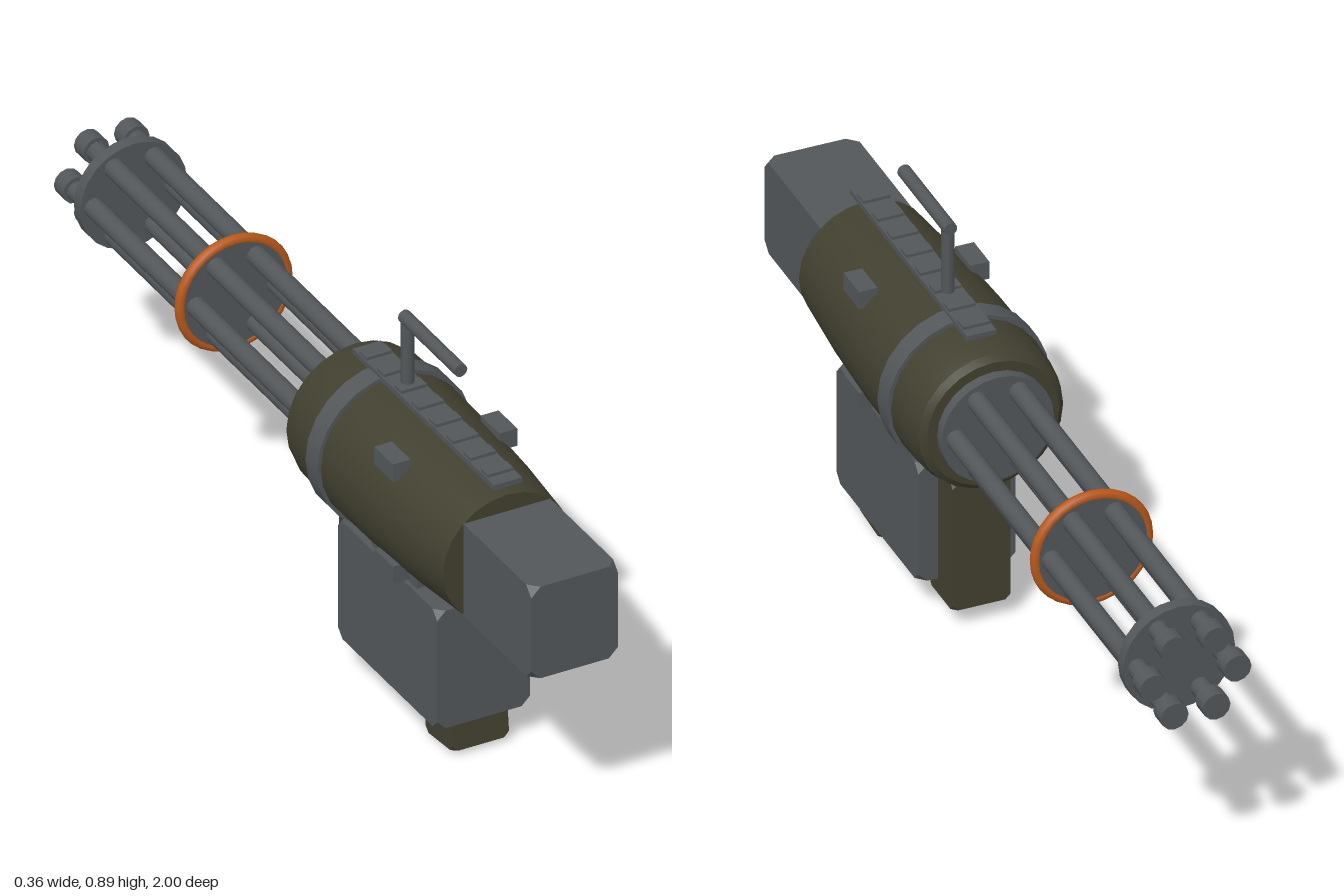
import * as THREE from 'three';
import { toCreasedNormals } from 'three/addons/utils/BufferGeometryUtils.js';
import { ConvexGeometry } from 'three/addons/geometries/ConvexGeometry.js';

const AXIS = 0.527; // height of the barrel axis

export function createModel() {
  const model = new THREE.Group();
  const steel = new THREE.MeshStandardMaterial({ color: 0x53575a });
  const olive = new THREE.MeshStandardMaterial({ color: 0x414030 });
  const orange = new THREE.MeshStandardMaterial({ color: 0xb8591c });
  steel.name = 'steel';
  olive.name = 'olive';
  orange.name = 'orange';

  const add = (name, geometry, material, x, y, z) => {
    const mesh = new THREE.Mesh(geometry, material);
    mesh.name = name;
    mesh.position.set(x, y, z);
    model.add(mesh);
    return mesh;
  };
  const box = (name, material, w, h, d, x, y, z) =>
    add(name, new THREE.BoxGeometry(w, h, d), material, x, y, z);

  // Cylinder lying along z, between two z positions
  const rod = (name, radius, z0, z1, sides, x, y) =>
    add(name, new THREE.CylinderGeometry(radius, radius, Math.abs(z1 - z0), sides).rotateX(Math.PI / 2),
      steel, x, y, (z0 + z1) / 2);

  // Box with its eight corners cut off
  const cutBox = (name, material, w, h, d, cut, x, y, z) => {
    const points = [];
    for (const sx of [-1, 1]) for (const sy of [-1, 1]) for (const sz of [-1, 1]) {
      points.push(
        new THREE.Vector3(sx * (w / 2 - cut), sy * h / 2, sz * d / 2),
        new THREE.Vector3(sx * w / 2, sy * (h / 2 - cut), sz * d / 2),
        new THREE.Vector3(sx * w / 2, sy * h / 2, sz * (d / 2 - cut)));
    }
    return add(name, new ConvexGeometry(points), material, x, y, z);
  };

  // Tapered housing: [radius, z] from the muzzle side to the rear
  const profile = [[0, 0.05], [0.148, 0.05], [0.162, 0.062], [0.17, 0.095], [0.174, 0.2],
    [0.172, 0.36], [0.164, 0.54], [0.15, 0.71], [0, 0.71]];
  const housing = new THREE.LatheGeometry(profile.map(([r, z]) => new THREE.Vector2(r, z)), 24);
  add('housing', toCreasedNormals(housing.rotateX(Math.PI / 2), 0.6), olive, 0, AXIS, 0);
  rod('housingBand', 0.182, 0.18, 0.23, 24, 0, AXIS);

  // Motor block at the rear
  cutBox('motorBlock', steel, 0.204, 0.222, 0.32, 0.022, 0, 0.526, 0.84);

  // Lugs around the housing
  for (const sx of [-1, 1]) for (const sy of [-1, 1]) {
    box('housingLug', steel, 0.042, 0.042, 0.08, sx * 0.125, AXIS + sy * 0.124, 0.448);
  }

  // Top rail with ribs
  box('rail', steel, 0.066, 0.012, 0.605, 0, 0.706, 0.4125);
  for (let i = 0; i < 8; i++) {
    box('railRib', steel, 0.06, 0.008, 0.03, 0, 0.715, 0.15 + i * 0.074);
  }

  // Carry handle
  add('handlePost', new THREE.CylinderGeometry(0.014, 0.014, 0.17, 12), steel, 0, 0.787, 0.285);
  rod('handleGrip', 0.015, 0.271, 0.513, 12, 0, 0.87);

  // Ammunition box, its mounts and the two olive grips
  cutBox('ammoBox', steel, 0.218, 0.285, 0.425, 0.02, 0, 0.225, 0.398);
  for (const z of [0.33, 0.49]) box('ammoMount', steel, 0.2, 0.04, 0.035, 0, 0.367, z);
  cutBox('rearGrip', olive, 0.13, 0.31, 0.12, 0.012, 0, 0.2, 0.17);
  cutBox('lowerGrip', olive, 0.132, 0.14, 0.116, 0.012, 0, 0.0752, 0.535).rotation.x = -0.1;

  // Six barrels with muzzles
  for (let i = 0; i < 6; i++) {
    const a = i * Math.PI / 3;
    const x = 0.094 * Math.cos(a), y = AXIS + 0.094 * Math.sin(a);
    rod('barrel', 0.022, 0.05, -0.98, 12, x, y);
    rod('muzzle', 0.031, -0.96, -1, 12, x, y);
  }

  // Barrel clamps and the orange ring
  rod('rearClamp', 0.126, 0.026, 0.052, 24, 0, AXIS);
  rod('middleClamp', 0.125, -0.469, -0.449, 24, 0, AXIS);
  rod('frontClamp', 0.125, -0.914, -0.886, 24, 0, AXIS);
  add('clampRing', new THREE.TorusGeometry(0.126, 0.012, 8, 32), orange, 0, AXIS, -0.459);

  return model;
}
